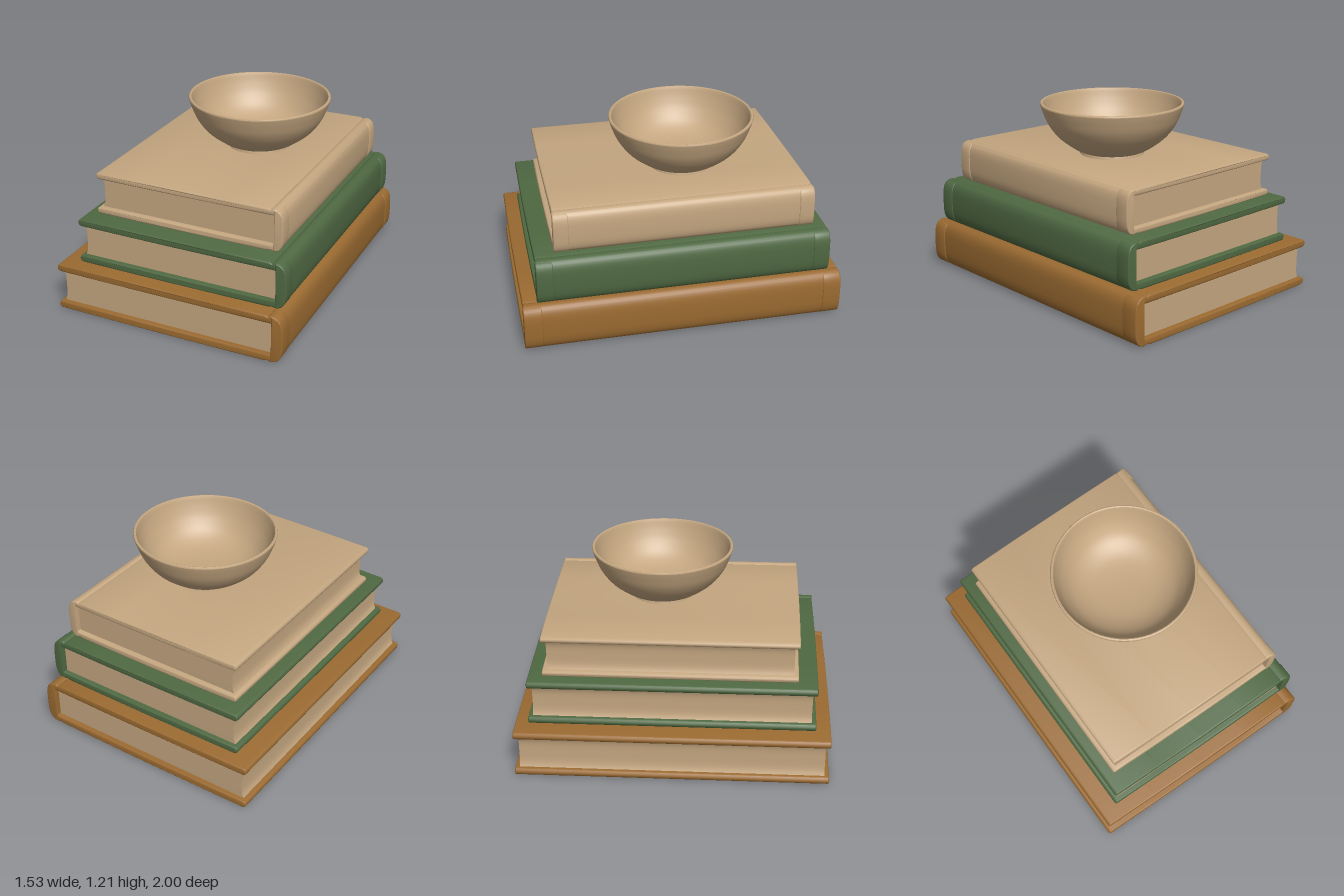
import * as THREE from 'three';
import { toCreasedNormals } from 'three/addons/utils/BufferGeometryUtils.js';

const material = (name, color) => {
  const m = new THREE.MeshStandardMaterial({ color });
  m.name = name;
  return m;
};

// Points down the bowed spine, from (x, y0) out by d and up to (x, y1)
function spineCurve(x, y0, y1, d) {
  const points = [], n = 18;
  for (let i = 0; i <= n; i++) {
    const a = -Math.PI / 2 + (Math.PI * i) / n;
    const px = x + d * Math.pow(Math.max(0, Math.cos(a)), 0.75);
    const s = Math.sin(a);
    const py = (y0 + y1) / 2 + ((y1 - y0) / 2) * Math.sign(s) * Math.pow(Math.abs(s), 0.6);
    points.push(new THREE.Vector2(px, py));
  }
  return points;
}

// Extrude an outline along z with softened ends
function extrudeZ(outline, z0, z1, bevel) {
  const geometry = new THREE.ExtrudeGeometry(new THREE.Shape(outline), {
    depth: z1 - z0 - 2 * bevel, bevelEnabled: bevel > 0, bevelThickness: bevel,
    bevelSize: bevel, bevelOffset: -bevel, bevelSegments: 3,
  });
  return geometry.translate(0, 0, z0 + bevel);
}

// Narrow the book slightly towards its fore edge
function taper(geometry, b) {
  const p = geometry.attributes.position, zc = (b.z0 + b.z1) / 2;
  for (let i = 0; i < p.count; i++) {
    const u = Math.max(0, (b.spine - p.getX(i)) / (b.spine - b.left));
    p.setZ(i, zc + (p.getZ(i) - zc) * (1 - 0.02 * u * u));
  }
  return geometry;
}

function createBook(b, coverMaterial, pageMaterial) {
  const book = new THREE.Group();
  book.name = b.name;
  const add = (name, geometry, mat) => {
    const mesh = new THREE.Mesh(toCreasedNormals(geometry, 0.6), mat);
    mesh.name = name;
    book.add(mesh);
  };
  const V = (x, y) => new THREE.Vector2(x, y);
  const { left, spine, right, y0, y1, t } = b;
  const mid = (k) => left + (spine - left) * k;

  // Rounded fore edge of one board, running down from yTop to yTop - t
  const boardEnd = (yTop) => Array.from({ length: 7 }, (_, i) => {
    const a = Math.PI / 2 + (Math.PI * i) / 6;
    return V(left + 0.02 + 0.02 * Math.cos(a), yTop - t / 2 + (t / 2) * Math.sin(a));
  });

  // Case: two boards joined by a bowed spine, with hinge grooves
  const inner = spineCurve(spine, y0 + t, y1 - t, 0.015).reverse();
  const cover = [
    ...boardEnd(y0 + t),
    V(mid(0.25), y0), V(mid(0.5), y0), V(mid(0.75), y0),
    V(spine - 0.035, y0), V(spine - 0.015, y0 + 0.006),
    ...spineCurve(spine, y0, y1, right - spine),
    V(spine - 0.015, y1 - 0.008), V(spine - 0.035, y1),
    V(mid(0.75), y1), V(mid(0.5), y1), V(mid(0.25), y1),
    ...boardEnd(y1),
    V(mid(0.25), y1 - t), V(mid(0.5), y1 - t), V(mid(0.75), y1 - t),
    ...inner,
    V(mid(0.75), y0 + t), V(mid(0.5), y0 + t), V(mid(0.25), y0 + t),
  ];
  add('cover', taper(extrudeZ(cover, b.z0, b.z1, 0.008), b), coverMaterial);

  // Page block with a slightly hollow fore edge
  const bottom = y0 + t - 0.006, top = y1 - t + 0.006;
  const pages = [V(spine + 0.012, bottom), V(spine + 0.012, top)];
  for (let i = 0; i <= 10; i++) {
    const k = i / 10, hollow = 1 - Math.pow(Math.abs(2 * k - 1), 4);
    pages.push(V(left + 0.028 + 0.017 * hollow, top + (bottom - top) * k));
  }
  add('pages', taper(extrudeZ(pages.reverse(), b.z0 + 0.03, b.z1 - 0.03, 0), b), pageMaterial);

  // Headbands: slightly raised wraps at both ends of the spine
  const band = spineCurve(spine + 0.008, y0 + 0.004, y1 - 0.004, right - spine - 0.003);
  const w = b.band;
  add('spineBandFront', extrudeZ(band, b.z1 - w, b.z1 + 0.003, 0.006), coverMaterial);
  add('spineBandBack', extrudeZ(band, b.z0 - 0.003, b.z0 + w, 0.006), coverMaterial);
  return book;
}

function createBowl(mat) {
  // Outside from the foot to the rim, then down the inside
  const outside = new THREE.SplineCurve([
    [0.2, 0.897], [0.255, 0.925], [0.345, 0.995], [0.405, 1.075], [0.437, 1.15], [0.453, 1.2],
  ].map(([x, y]) => new THREE.Vector2(x, y))).getPoints(24);
  const inside = new THREE.SplineCurve([
    [0.432, 1.2], [0.413, 1.14], [0.38, 1.07], [0.32, 0.995], [0.23, 0.945], [0.12, 0.925], [0, 0.92],
  ].map(([x, y]) => new THREE.Vector2(x, y))).getPoints(28);
  const profile = [
    new THREE.Vector2(0, 0.872), new THREE.Vector2(0.205, 0.872),
    new THREE.Vector2(0.203, 0.885), ...outside,
    new THREE.Vector2(0.45, 1.207), new THREE.Vector2(0.442, 1.21),
    new THREE.Vector2(0.435, 1.207), ...inside,
  ];
  const bowl = new THREE.Mesh(toCreasedNormals(new THREE.LatheGeometry(profile, 72), 0.7), mat);
  bowl.name = 'bowl';
  bowl.position.set(0.127, 0, -0.103);
  return bowl;
}

export function createModel() {
  const beige = material('beige', 0xc4a680);
  const brown = material('brown', 0x9a6a31);
  const green = material('green', 0x4f6842);

  const model = new THREE.Group();
  model.name = 'bookStackWithBowl';
  model.add(
    createBook({ name: 'bottomBook', left: -0.765, spine: 0.685, right: 0.76,
      y0: 0.003, y1: 0.308, t: 0.047, z0: -0.995, z1: 0.995, band: 0.11 }, brown, beige),
    createBook({ name: 'middleBook', left: -0.65, spine: 0.67, right: 0.74,
      y0: 0.312, y1: 0.604, t: 0.046, z0: -0.912, z1: 0.905, band: 0.1 }, green, beige),
    createBook({ name: 'topBook', left: -0.58, spine: 0.605, right: 0.666,
      y0: 0.61, y1: 0.88, t: 0.04, z0: -0.82, z1: 0.785, band: 0.09 }, beige, beige),
    createBowl(beige),
  );
  return model;
}
